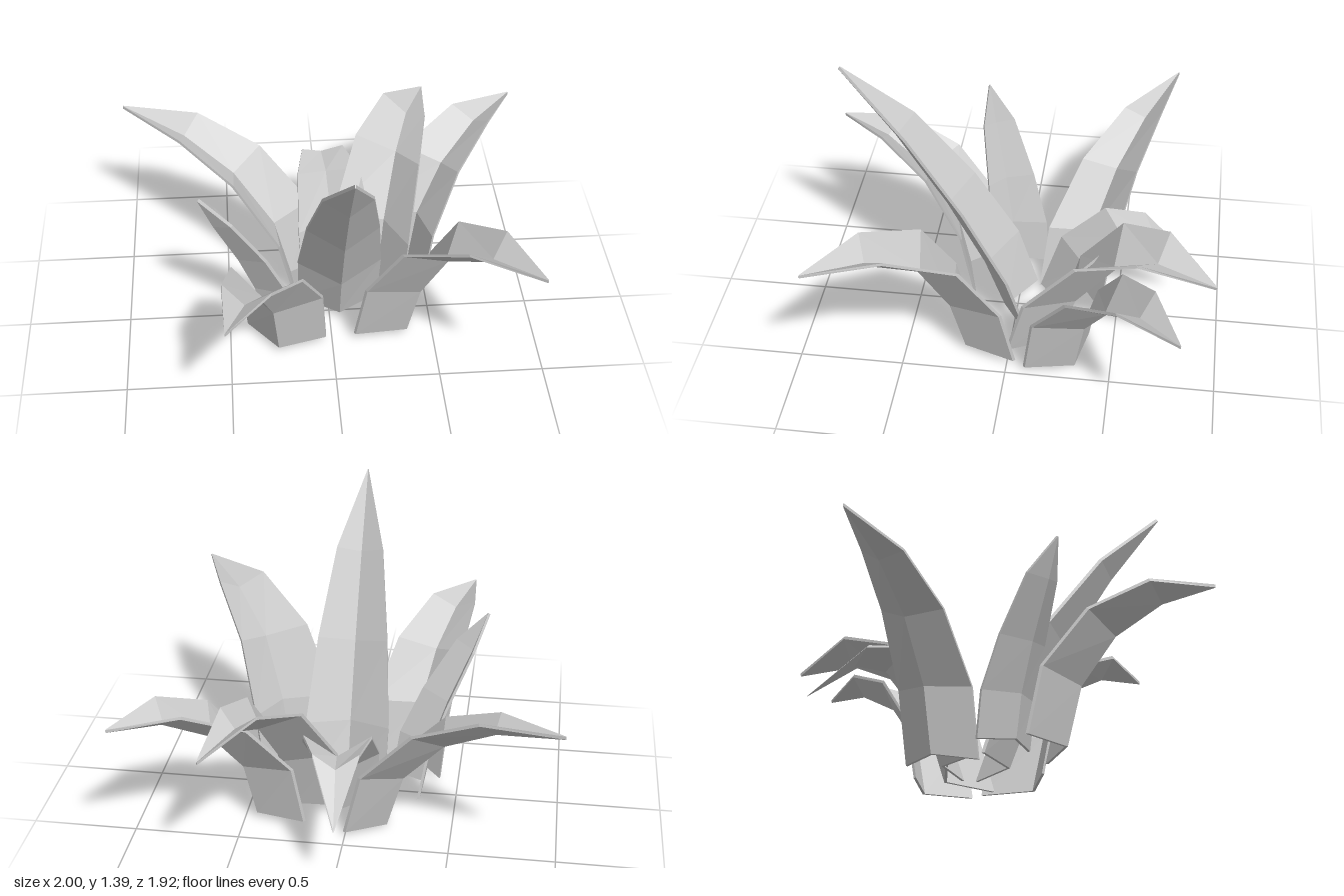
import * as THREE from 'three';

const FOLD = 0.66;       // depth of the V crease relative to the half width
const THICKNESS = 0.015;

// One row per leaf: base middle (x, z), horizontal heading, half-width scale,
// and the curve of its side edges as [distance outward, height] from base to tip.
// Optional: roll tips it sideways, sway drifts it sideways, lean pushes its outer crease outward.
const LEAVES = [
  { name: 'tallFrontLeaf', base: [0.05, -0.08], dir: [0, 1], scale: 1,
    path: [[0, 0.05], [0.1, 0.36], [0.31, 0.73], [0.58, 1.1], [0.89, 1.4]] },
  { name: 'frontRightLeaf', base: [-0.22, 0.16], dir: [-0.32, 0.95], scale: 1, sway: 0.027,
    path: [[0, 0.045], [0.07, 0.36], [0.28, 0.63], [0.56, 0.765], [0.845, 0.75]] },
  { name: 'frontLeftLeaf', base: [0.28, 0.09], dir: [0.61, 0.79], scale: 1.07, sway: -0.025,
    path: [[0, 0.05], [0.08, 0.38], [0.28, 0.7], [0.62, 0.87], [0.965, 0.865]] },
  { name: 'backLeftLeaf', base: [0.19, -0.11], dir: [0.57, -0.82], scale: 1.05, roll: -0.2, sway: -0.2,
    path: [[0, 0.05], [0.09, 0.38], [0.33, 0.7], [0.6, 0.8], [0.91, 0.71]] },
  { name: 'leftLeaf', base: [0.34, -0.23], dir: [0.71, -0.7], scale: 1, sway: 0.05,
    path: [[0, 0.045], [0.065, 0.36], [0.28, 0.63], [0.575, 0.77], [0.88, 0.75]] },
  { name: 'rightLeaf', base: [-0.075, -0.255], dir: [-0.893, -0.45], scale: 0.9, roll: 0.2,
    path: [[0, 0.022], [0.09, 0.35], [0.35, 0.64], [0.665, 0.79], [1.035, 0.82]] },
  { name: 'backLeaf', base: [0.06, -0.125], dir: [-0.1, -0.99], scale: 0.92, lean: 0.6,
    path: [[0, 0.05], [0.1, 0.36], [0.31, 0.57], [0.5, 0.585], [0.76, 0.36]] },
  { name: 'smallRightLeaf', base: [-0.245, 0.005], dir: [-0.86, 0.51], scale: 0.72,
    path: [[0, 0.05], [0.04, 0.27], [0.15, 0.51], [0.305, 0.765], [0.427, 0.92]] },
];
const HALF_WIDTHS = [0.2, 0.205, 0.172, 0.115, 0.002];

// Unit normal on the outer (lower) side of the path, square to the segment leading to point i
function outerNormal(path, i, lean) {
  if (i === 0) return [1, 0];
  const [a, b] = [path[i - 1], path[i]];
  const angle = Math.atan2(b[1] - a[1], b[0] - a[0]) - Math.PI / 2 + lean * (i / 3) ** 3;
  return [Math.cos(angle), Math.sin(angle)];
}

// Thin creased blade lofted through V-shaped rings of six points
function leafGeometry({ base, dir, scale, path, roll = 0, sway = 0, lean = 0 }) {
  const u = new THREE.Vector2(...dir).normalize();
  const positions = [];
  const index = [];
  path.forEach(([d, y], i) => {
    const w = HALF_WIDTHS[i] * scale;
    const [nd, ny] = outerNormal(path, i, lean);
    const add = (side, layer) => {
      const off = (side === 0 ? FOLD * w : 0) + layer * THICKNESS;
      const out = d + nd * off;
      const across = side * w + sway * d;
      positions.push(
        base[0] + u.x * out - u.y * across,
        y + ny * off + side * roll * w * (i + 1) / 4,
        base[1] + u.y * out + u.x * across);
    };
    // inner layer left to right, then outer layer back again
    [-1, 0, 1].forEach((s) => add(s, -0.3));
    [1, 0, -1].forEach((s) => add(s, 0.7));
  });
  for (let i = 0; i < path.length - 1; i++) {
    for (let k = 0; k < 6; k++) {
      const a = i * 6 + k, b = i * 6 + (k + 1) % 6;
      index.push(a, b, b + 6, a, b + 6, a + 6);
    }
  }
  // base and tip caps
  const cap = [0, 5, 4, 0, 4, 1, 1, 4, 3, 1, 3, 2];
  const last = (path.length - 1) * 6;
  index.push(...cap, ...cap.slice().reverse().map((k) => k + last));

  const geometry = new THREE.BufferGeometry();
  geometry.setAttribute('position', new THREE.Float32BufferAttribute(positions, 3));
  geometry.setIndex(index);
  const flat = geometry.toNonIndexed();
  flat.computeVertexNormals();
  return flat;
}

export function createModel() {
  const plant = new THREE.Group();
  plant.name = 'plant';
  const material = new THREE.MeshStandardMaterial({ color: 0xcccccc, flatShading: true });
  for (const leaf of LEAVES) {
    const mesh = new THREE.Mesh(leafGeometry(leaf), material);
    mesh.name = leaf.name;
    plant.add(mesh);
  }
  return plant;
}
